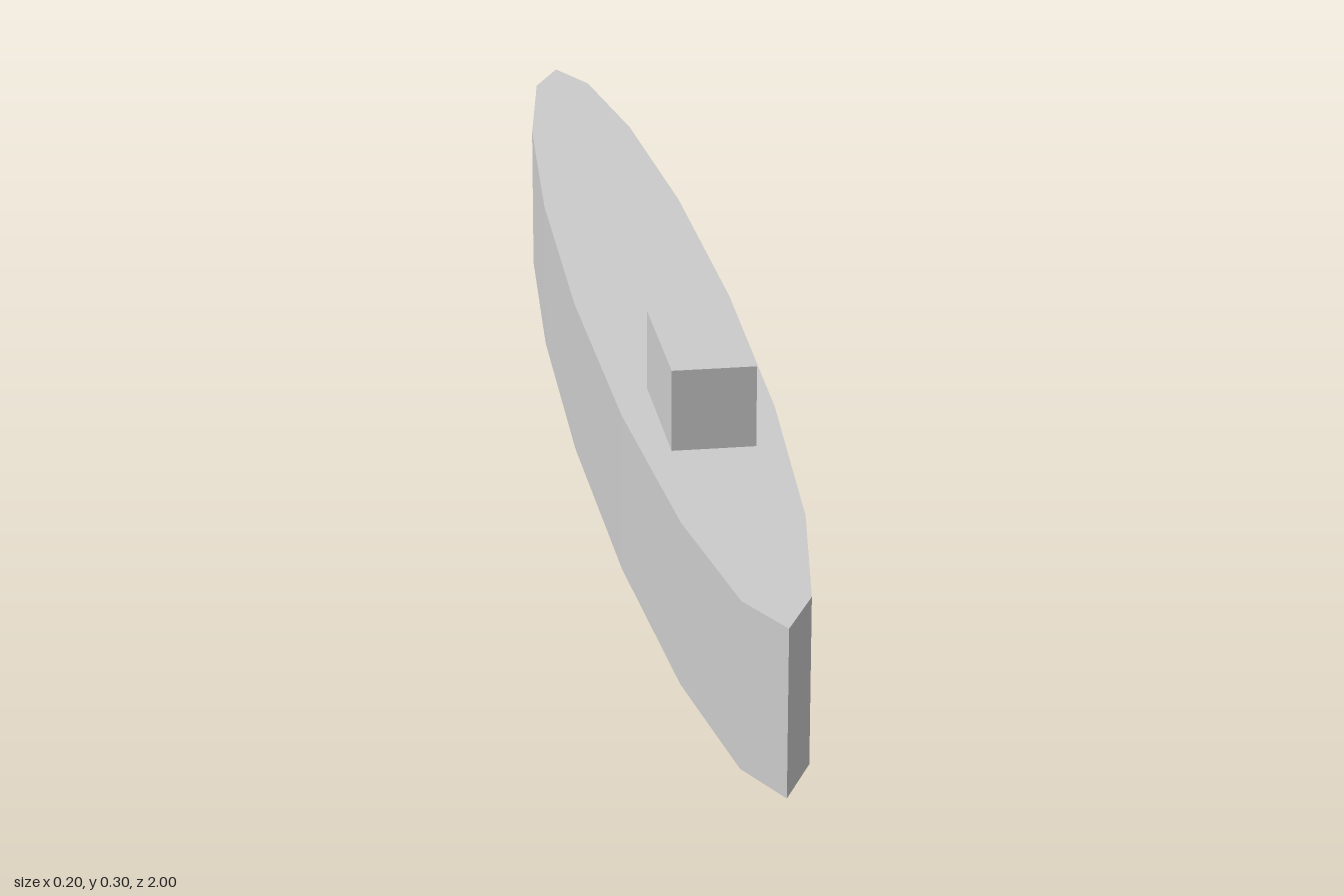
import * as THREE from 'three';

export function createModel() {
  const model = new THREE.Group();
  const material = new THREE.MeshStandardMaterial({ color: 0xcccccc, flatShading: true });

  const addPart = (name, geometry, x, y, z) => {
    const mesh = new THREE.Mesh(geometry, material);
    mesh.name = name;
    mesh.position.set(x, y, z);
    model.add(mesh);
  };

  // Hull: a 16-sided prism stretched to a slender ellipse, pointed at bow and stern
  const hull = new THREE.CylinderGeometry(1, 1, 0.2, 16).scale(0.1, 1, 1);
  addPart('hull', hull, 0, 0.1, 0);

  // Cabin: a small box on the deck, towards the bow
  addPart('cabin', new THREE.BoxGeometry(0.1, 0.1, 0.2), 0, 0.25, 0.4);

  return model;
}
